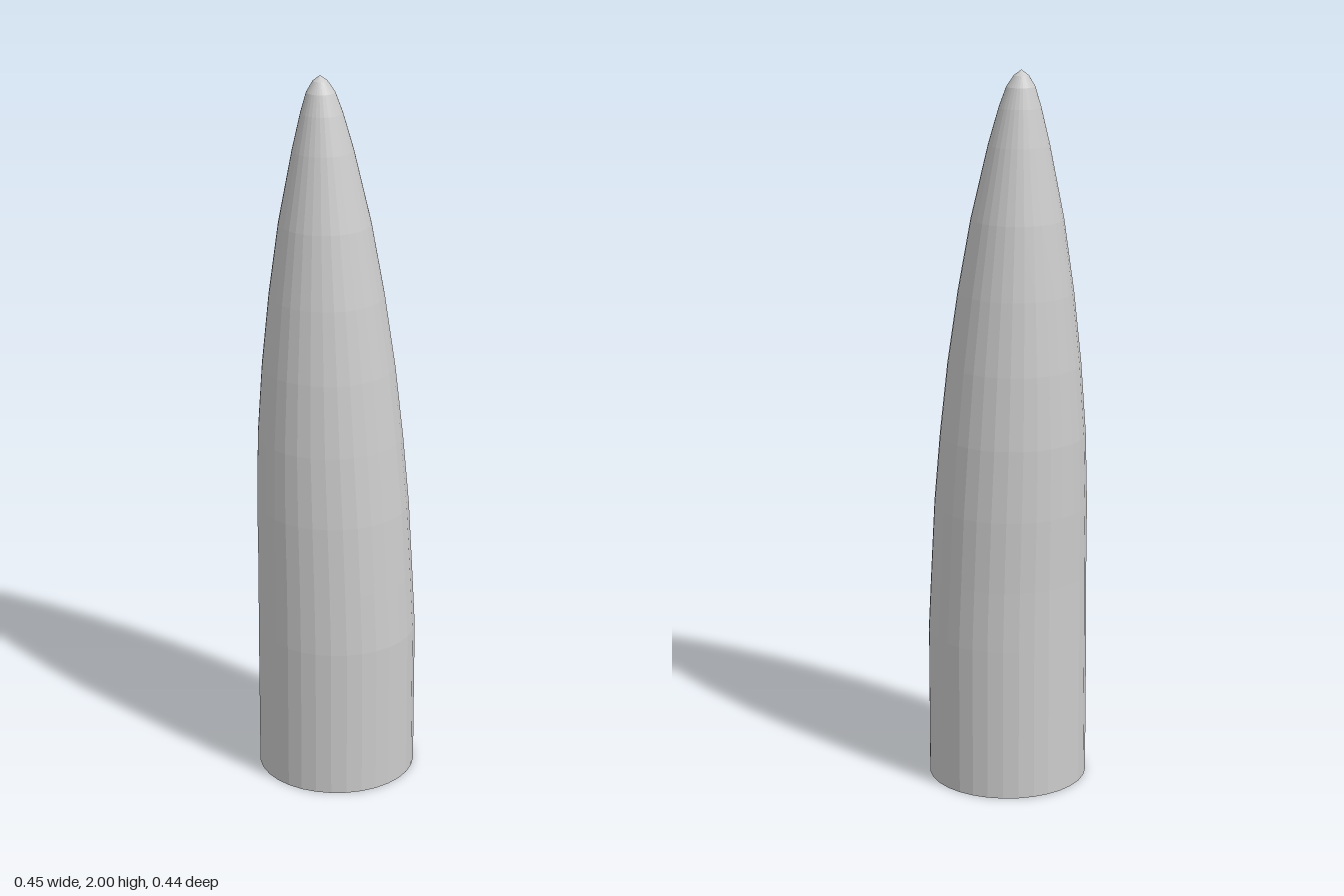
import * as THREE from 'three';

export function createModel() {
  const group = new THREE.Group();
  group.name = 'curvedSpike';
  const material = new THREE.MeshStandardMaterial({ color: 0xcccccc, flatShading: true });

  // Each row: height, radius, sideways shift of the ring's centre
  const rings = [
    [0, 0, 0], [0, 0.222, 0], [0.43, 0.222, 0], [0.6, 0.217, -0.005],
    [0.8, 0.212, -0.013], [1.0, 0.201, -0.022], [1.2, 0.183, -0.028],
    [1.4, 0.158, -0.034], [1.6, 0.126, -0.04], [1.8, 0.083, -0.046],
    [1.9, 0.057, -0.05], [1.955, 0.039, -0.053], [1.985, 0.02, -0.055], [2, 0, -0.055],
  ];

  // Round body closed at the base, tapering to a blunt tip
  const geometry = new THREE.LatheGeometry(rings.map(([y, r]) => new THREE.Vector2(r, y)), 32);

  // Lean the taper to one side by shifting each ring
  const position = geometry.attributes.position;
  for (let i = 0; i < position.count; i++) {
    position.setX(i, position.getX(i) + rings[i % rings.length][2]);
  }
  geometry.computeVertexNormals();

  const body = new THREE.Mesh(geometry, material);
  body.name = 'spikeBody';
  group.add(body);
  return group;
}
